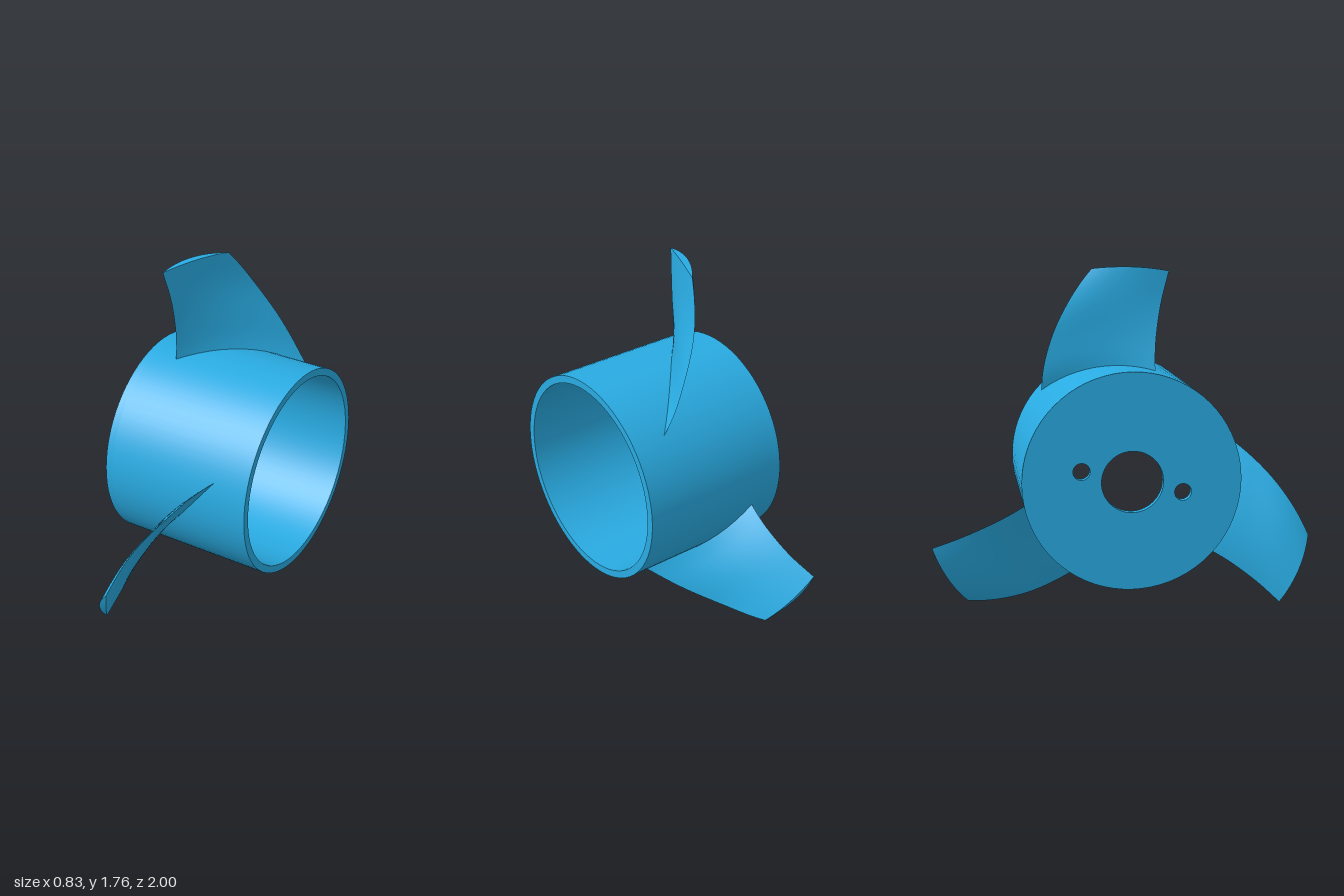
import * as THREE from 'three';
import { toCreasedNormals } from 'three/addons/utils/BufferGeometryUtils.js';

const R = 0.556, R_IN = 0.516, HALF = 0.417, FLOOR = 0.04;
const V = (x, y, z) => new THREE.Vector3(x, y, z);
const material = new THREE.MeshStandardMaterial({ color: 0x29abe2, side: THREE.DoubleSide });

function part(name, geometry) {
  const mesh = new THREE.Mesh(toCreasedNormals(geometry, 0.6), material);
  mesh.name = name;
  return mesh;
}

// Round wall of the hub, axis along x
function hubWall() {
  const y0 = -HALF + FLOOR;
  const profile = [[R, y0], [R, HALF], [R_IN, HALF], [R_IN, y0]].map(p => new THREE.Vector2(...p));
  return new THREE.LatheGeometry(profile, 72).rotateZ(-Math.PI / 2);
}

// Closed end with a shaft hole and two pin holes
function hubFloor() {
  const disc = new THREE.Shape().absarc(0, 0, R, 0, Math.PI * 2, false);
  for (const [x, y, r] of [[0, 0, 0.157], [-0.257, -0.058, 0.043], [0.257, 0.058, 0.043]])
    disc.holes.push(new THREE.Path().absarc(x, y, r, 0, Math.PI * 2, true));
  return new THREE.ExtrudeGeometry(disc, { depth: FLOOR, bevelEnabled: false, curveSegments: 36 })
    .rotateY(Math.PI / 2).translate(-HALF, 0, 0);
}

// Twisted blade: thin cambered sections between two edge curves
function bladeGeometry() {
  // points are (radius, angle in degrees, x)
  const edge = pts => new THREE.CatmullRomCurve3(pts, false, 'catmullrom');
  const lead = edge([V(0.535, -15.2, -0.25), V(0.616, -13, -0.245), V(0.731, -11.4, -0.243),
    V(0.892, -10.7, -0.25), V(1.063, -11, -0.272)]);
  const trail = edge([V(0.535, 48.5, 0.25), V(0.616, 40.9, 0.175), V(0.731, 31.1, 0.085),
    V(0.892, 19.8, -0.033), V(1.063, 9.2, -0.12)]);
  const N = 16, ROWS = 20, loop = 2 * N;
  const pos = [], index = [];
  for (let j = 0; j <= ROWS + 1; j++) {
    const t = Math.min(j / ROWS, 1);
    const a = lead.getPoint(t), b = trail.getPoint(t), r = a.x;
    const dx = b.z - a.z, ds = THREE.MathUtils.degToRad(b.y - a.y) * r, len = Math.hypot(dx, ds);
    for (let i = 0; i < loop; i++) {
      const back = i > N, u = (back ? loop - i : i) / N;
      // the last row collapses to the middle line and closes the tip
      const height = j > ROWS ? 0.014 : back ? -0.006 : 0.034;
      const h = 4 * u * (1 - u) * height / len;
      const x = a.z + dx * u - ds * h;
      const angle = THREE.MathUtils.degToRad(a.y) + (ds * u + dx * h) / r;
      pos.push(x, r * Math.cos(angle), -r * Math.sin(angle));
      if (j <= ROWS) {
        const k = j * loop + i, n = j * loop + (i + 1) % loop;
        index.push(k, k + loop, n, n, k + loop, n + loop);
      }
    }
  }
  const g = new THREE.BufferGeometry();
  g.setAttribute('position', new THREE.Float32BufferAttribute(pos, 3));
  g.setIndex(index);
  return g;
}

export function createModel() {
  const group = new THREE.Group();
  group.name = 'impeller';
  const hub = new THREE.Group();
  hub.name = 'hub';
  hub.add(part('hubWall', hubWall()), part('hubFloor', hubFloor()));
  group.add(hub);

  // Three blades spaced evenly around the hub
  const blade = bladeGeometry();
  for (let k = 0; k < 3; k++) {
    const mesh = part('blade' + (k + 1), blade);
    mesh.rotation.x = k * Math.PI * 2 / 3;
    group.add(mesh);
  }
  group.position.set(0, 0.703, 0.005);

  const root = new THREE.Group();
  root.add(group);
  return root;
}
